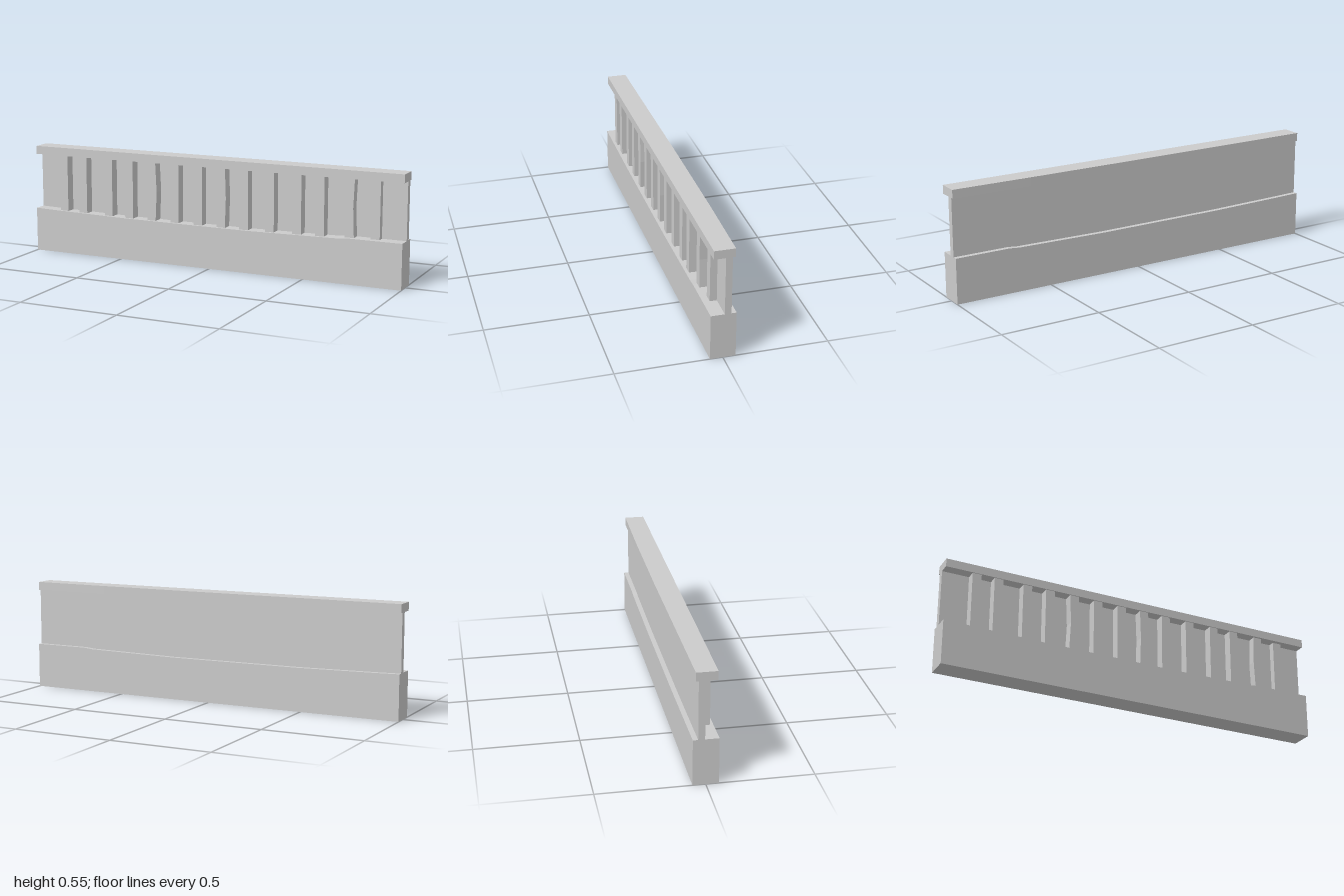
import * as THREE from 'three';

const material = new THREE.MeshStandardMaterial({ color: 0xcccccc, flatShading: true });

// Worn top edge of the base, as [x, y]
const ledge = [[-1, 0.225], [-0.88, 0.222], [-0.48, 0.215], [0.2, 0.213], [0.67, 0.22], [0.72, 0.225], [1, 0.225]];

function ledgeHeight(x) {
  const i = Math.max(1, ledge.findIndex((p) => p[0] >= x));
  const [a, b] = [ledge[i - 1], ledge[i]];
  return THREE.MathUtils.mapLinear(x, a[0], b[0], a[1], b[1]);
}

function add(group, name, geometry) {
  const mesh = new THREE.Mesh(geometry, material);
  mesh.name = name;
  group.add(mesh);
  return mesh;
}

function prism(points, depth) {
  const shape = new THREE.Shape(points.map(([x, y]) => new THREE.Vector2(x, y)));
  return new THREE.ExtrudeGeometry(shape, { depth, bevelEnabled: false });
}

export function createModel() {
  const group = new THREE.Group();
  group.name = 'balustradeWall';

  // Heavy base with a slightly sagging ledge
  add(group, 'base', prism([[-1, 0], [1, 0], ...[...ledge].reverse()], 0.12).translate(0, 0, -0.06));

  // Thin back panel standing on the ledge
  add(group, 'backPanel', prism([...ledge, [1, 0.512], [-1, 0.512]], 0.031).translate(0, 0, -0.036));

  // Cap rail, bulging a little at the back
  const outline = [[-1, -0.05], [1, -0.05], [1, 0.049], [0.6, 0.054], [0.02, 0.055], [-1, 0.049]];
  add(group, 'capRail', prism(outline, 0.042).rotateX(-Math.PI / 2).translate(0, 0.51, 0));

  // Uneven posts: centre x, front z, sideways bend at mid height
  const posts = [
    [-0.84, 0.045, 0], [-0.727, 0.045, 0], [-0.577, 0.045, 0], [-0.457, 0.045, 0],
    [-0.328, 0.045, 0.007], [-0.198, 0.045, 0], [-0.068, 0.045, 0], [0.058, 0.045, 0.005],
    [0.182, 0.045, 0], [0.32, 0.045, 0], [0.462, 0.045, 0], [0.58, 0.045, 0],
    [0.73, 0.039, -0.006], [0.855, 0.028, 0],
  ];
  const row = new THREE.Group();
  row.name = 'posts';
  for (const [x, front, bend] of posts) {
    const bottom = ledgeHeight(x) - 0.002;
    const height = 0.511 - bottom;
    const depth = front + 0.007;
    const geometry = new THREE.BoxGeometry(0.046, height, depth, 1, 2, 1);
    const p = geometry.attributes.position;
    for (let i = 0; i < p.count; i++) {
      if (Math.abs(p.getY(i)) < 0.01) p.setX(i, p.getX(i) + bend);
    }
    geometry.computeVertexNormals();
    add(row, 'post', geometry).position.set(x, bottom + height / 2, front - depth / 2);
  }
  group.add(row);
  return group;
}
